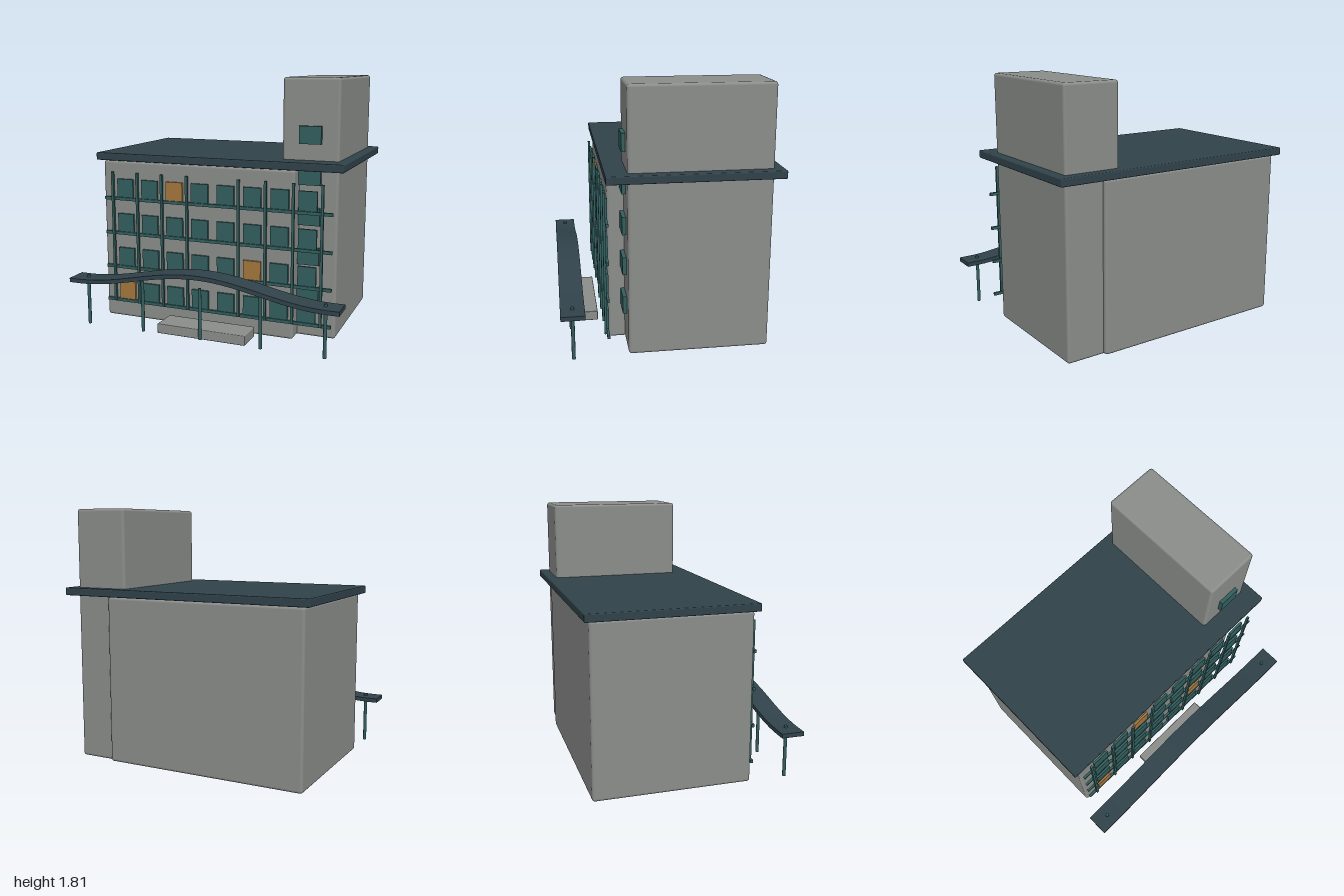
import * as THREE from 'three';
import { RoundedBoxGeometry } from 'three/addons/geometries/RoundedBoxGeometry.js';

const mat = (name, color) => {
  const m = new THREE.MeshStandardMaterial({ color });
  m.name = name;
  return m;
};

export function createModel() {
  const concrete = mat('concrete', 0x8a8d8a);
  const slate = mat('slate', 0x30424a);
  const teal = mat('teal', 0x335e5e);
  const amber = mat('amber', 0xa4763c);

  const model = new THREE.Group();
  model.name = 'building';

  const add = (name, geometry, material, parent = model) => {
    const mesh = new THREE.Mesh(geometry, material);
    mesh.name = name;
    parent.add(mesh);
    return mesh;
  };
  const group = (name) => {
    const g = new THREE.Group();
    g.name = name;
    model.add(g);
    return g;
  };
  // Box from its limits on each axis; a radius rounds its edges
  const box = (name, [x0, x1], [y0, y1], [z0, z1], material, parent, radius = 0) => {
    const size = [x1 - x0, y1 - y0, z1 - z0];
    const geometry = radius
      ? new RoundedBoxGeometry(...size, 2, radius)
      : new THREE.BoxGeometry(...size);
    geometry.translate((x0 + x1) / 2, (y0 + y1) / 2, (z0 + z1) / 2);
    return add(name, geometry, material, parent);
  };

  // Main masses
  box('mainBlock', [-0.89, 0.592], [0.005, 1.2], [-0.7, 0.4], concrete, model, 0.02);
  box('tower', [0.465, 0.865], [0.005, 1.815], [-0.67, 0.285], concrete, model, 0.02);
  box('roof', [-0.935, 0.933], [1.202, 1.257], [-0.737, 0.428], slate, model, 0.008);
  box('entranceStep', [-0.333, 0.331], [0.015, 0.085], [0.457, 0.655], concrete, model, 0.006);

  // Facade windows, three of them lit
  const windows = group('facadeWindows');
  const lit = new Set(['0,0', '5,1', '2,3']);
  for (let row = 0; row < 4; row++) {
    for (let col = 0; col < 8; col++) {
      const x = -0.7 + col * 0.199;
      const y = 0.153 + row * 0.26;
      const isLit = lit.has(`${col},${row}`);
      box(isLit ? 'litWindow' : 'window', [x - 0.065, x + 0.065], [y, y + 0.136],
        [0.408, 0.425], isLit ? amber : teal, windows);
    }
  }

  // Floor bars and upright fins in front of the windows
  const grid = group('facadeGrid');
  for (let i = 0; i < 4; i++) {
    const y = 0.14 + i * 0.26;
    box('floorBar', [-0.87, 0.867], [y - 0.011, y + 0.011], [0.41, 0.428], teal, grid);
  }
  for (const x of [0.197, 0.396, 0.595, 0.797]) {
    for (const s of [-1, 1]) {
      box('fin', [s * x - 0.009, s * x + 0.009], [0.135, 1.12], [0.425, 0.442], teal, grid);
    }
  }

  // Stair windows up the tower
  const stairWindows = group('towerWindows');
  for (let i = 0; i < 5; i++) {
    const y = 0.25 + i * 0.28;
    box('towerWindow', [0.59, 0.745], [y, y + 0.122], [0.28, 0.312], teal, stairWindows);
  }

  // Wave canopy: a thin wavy section extruded in depth
  const wave = (x) =>
    0.355 + 0.0625 * (1 + Math.cos(Math.PI * Math.min(1, Math.abs(x) / 0.93)));
  const top = [];
  const bottom = [];
  const steps = 48;
  for (let i = 0; i <= steps; i++) {
    const x = -1 + (2 * i) / steps;
    top.unshift(new THREE.Vector2(x, wave(x) + 0.015));
    bottom.push(new THREE.Vector2(x, wave(x) - 0.015));
  }
  const canopy = new THREE.ExtrudeGeometry(new THREE.Shape([...bottom, ...top]), {
    depth: 0.16,
    bevelEnabled: false,
  });
  canopy.translate(0, 0, 0.575);
  add('waveCanopy', canopy, slate);

  // Canopy posts
  const posts = group('canopyPosts');
  for (let i = -2; i <= 2; i++) {
    const post = add('post', new THREE.CylinderGeometry(0.0125, 0.0125, 0.37, 8), teal, posts);
    post.position.set(i * 0.445, 0.2, 0.655);
  }

  return model;
}
